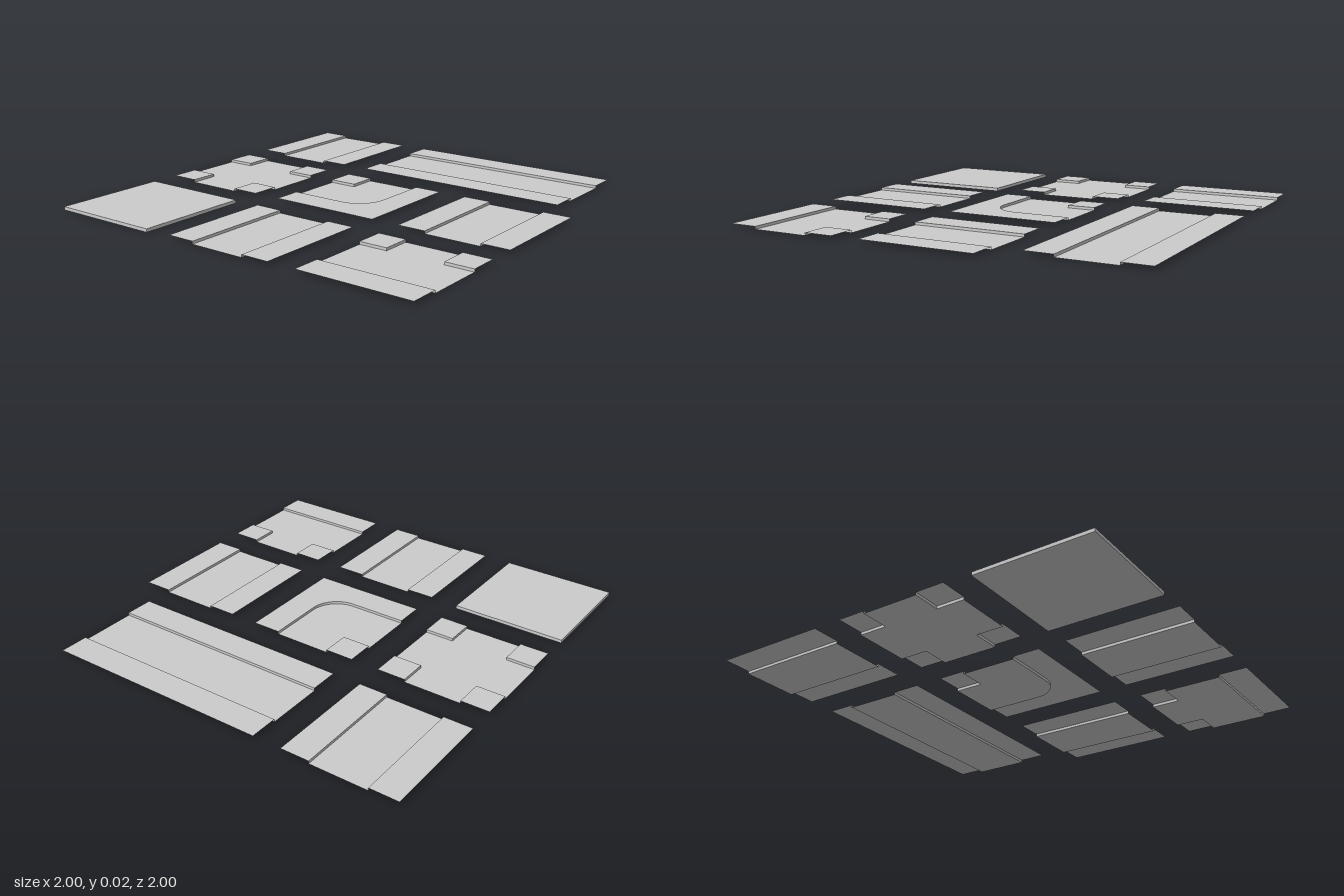
import * as THREE from 'three';

const U = 1 / 7;        // plan unit: a tile is 4 x 4 units
const TOP = 0.0165;     // pavement height
const ROAD = 0.003;     // road surface height

const material = new THREE.MeshStandardMaterial({ color: 0xcccccc, side: THREE.DoubleSide });

function addMesh(group, name, geometry) {
  const mesh = new THREE.Mesh(geometry, material);
  mesh.name = name;
  group.add(mesh);
}

// Quarter turns of plan points [x, z]
function turn(points, quarters) {
  let result = points;
  for (let i = 0; i < quarters; i++) result = result.map(([x, z]) => [-z, x]);
  return result;
}

// Flat, upward-facing sheet from a plan outline
function sheet(points, y) {
  const shape = new THREE.Shape(points.map(([x, z]) => new THREE.Vector2(x * U, -z * U)));
  return new THREE.ShapeGeometry(shape).rotateX(-Math.PI / 2).translate(0, y, 0);
}

// Vertical kerb face along a plan line, with the road on its right
function kerbFace(points) {
  const n = points.length;
  const geometry = new THREE.PlaneGeometry(1, 1, n - 1, 1);
  const pos = geometry.attributes.position;
  for (let i = 0; i < pos.count; i++) {
    const [x, z] = points[i % n];
    pos.setXYZ(i, x * U, i < n ? TOP : ROAD, z * U);
  }
  geometry.computeVertexNormals();
  return geometry;
}

// Pavement pieces: kerb runs (clockwise around the road) plus outer corners
function strip(quarters, half = 2) {
  return {
    runs: [turn([[-half, -1], [half, -1]], quarters)],
    outer: turn([[half, -2], [-half, -2]], quarters),
  };
}

function corner(quarters) {
  return {
    runs: [turn([[-2, -1], [-1, -1]], quarters), turn([[-1, -1], [-1, -2]], quarters)],
    outer: turn([[-2, -2]], quarters),
  };
}

function bend() {
  const run = [[1, -2]];
  const steps = 16;
  for (let i = 0; i <= steps; i++) {
    const a = (i / steps) * Math.PI / 2;
    run.push([Math.cos(a), Math.sin(a)]);
  }
  run.push([-2, 1]);
  return { runs: [run], outer: [[-2, 2], [2, 2], [2, -2]] };
}

// The road outline is the kerb lines joined in order
function roadTile(name, x, z, pavements) {
  const tile = new THREE.Group();
  tile.name = name;
  const outline = [];
  for (const { runs, outer } of pavements) {
    const line = runs.flatMap((run, i) => (i ? run.slice(1) : run));
    outline.push(...line);
    addMesh(tile, 'pavement', sheet([...line, ...outer], TOP));
    for (const run of runs) addMesh(tile, 'kerb', kerbFace(run));
  }
  addMesh(tile, 'road', sheet(outline, ROAD));
  tile.position.set(x * U, 0, z * U);
  return tile;
}

export function createModel() {
  const model = new THREE.Group();
  model.name = 'roadTileSet';

  // Straight pieces running front to back
  for (const [x, z] of [[-5, -5], [5, 0], [0, 5]]) {
    model.add(roadTile('straightRoad', x, z, [strip(1), strip(3)]));
  }

  // Double-length straight running side to side
  model.add(roadTile('longRoad', 2, -5, [strip(0, 4), strip(2, 4)]));

  // Junctions and bend
  model.add(roadTile('crossroads', -5, 0, [corner(0), corner(1), corner(2), corner(3)]));
  model.add(roadTile('curvedRoad', 0, 0, [corner(0), bend()]));
  model.add(roadTile('sideJunction', 5, 5, [corner(0), corner(1), strip(2)]));

  // Plain solid block
  const block = new THREE.BoxGeometry(4 * U, TOP, 4 * U);
  addMesh(model, 'plainTile', block.translate(-5 * U, TOP / 2, 5 * U));

  return model;
}
